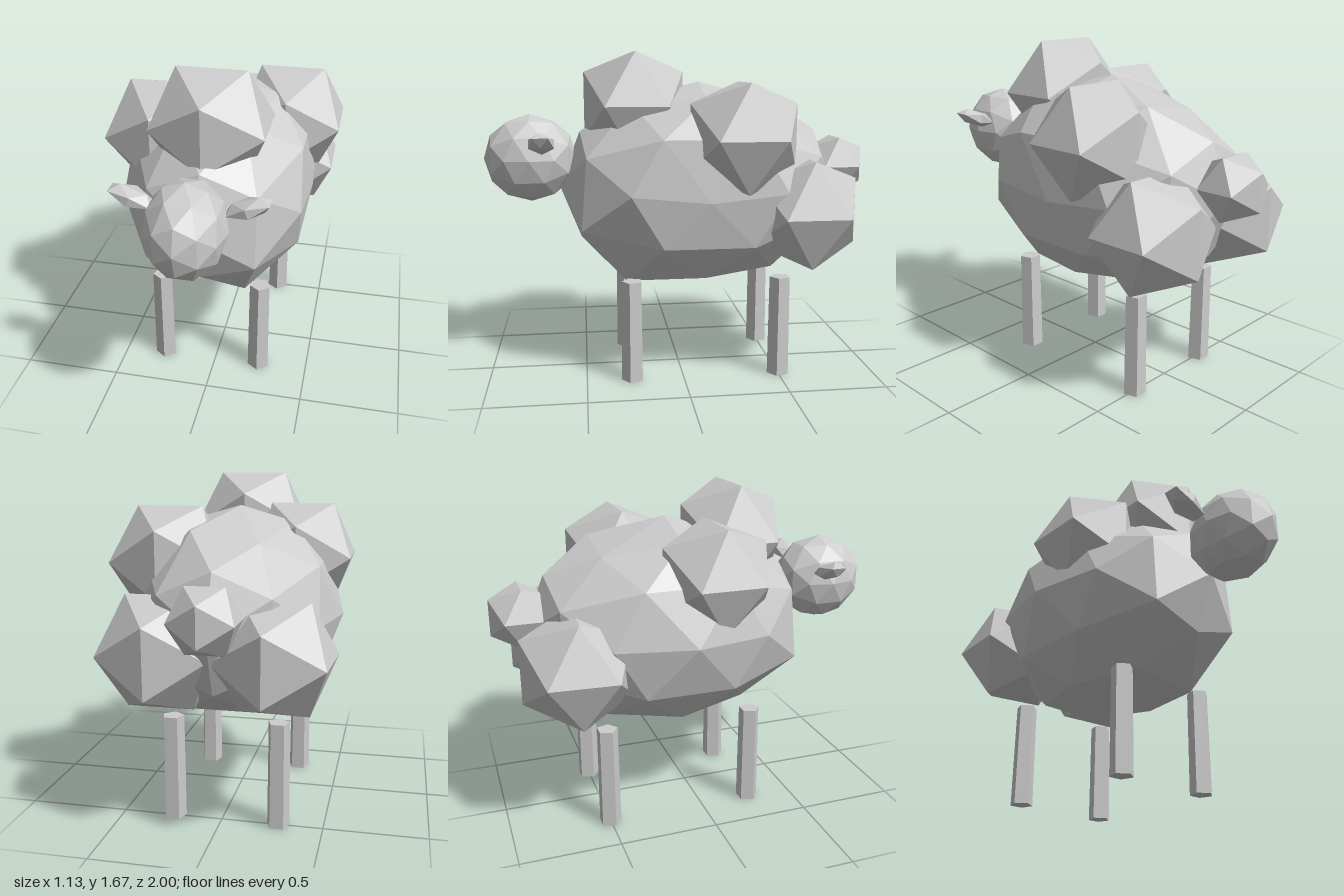
import * as THREE from 'three';

export function createModel() {
  const model = new THREE.Group();
  const grey = new THREE.MeshStandardMaterial({ color: 0xcccccc, flatShading: true });
  grey.name = 'light grey';

  function add(name, geometry, position) {
    const mesh = new THREE.Mesh(geometry, grey);
    mesh.name = name;
    mesh.position.set(...position);
    model.add(mesh);
    return mesh;
  }

  // Faceted ball stretched to the given half sizes
  function ball(name, position, radii, detail = 0) {
    return add(name, new THREE.IcosahedronGeometry(1, detail).scale(...radii), position);
  }

  // Shift every corner that lies at one of the given places on the unit ball
  function nudge(mesh, radii, moves) {
    const corners = mesh.geometry.attributes.position;
    const scale = new THREE.Vector3(...radii);
    const unit = new THREE.Vector3();
    for (let i = 0; i < corners.count; i++) {
      unit.fromBufferAttribute(corners, i).divide(scale);
      const move = moves.find(([place]) => unit.distanceTo(new THREE.Vector3(...place)) < 0.1);
      if (move) {
        unit.multiply(scale).add(new THREE.Vector3(...move[1]));
        corners.setXYZ(i, unit.x, unit.y, unit.z);
      }
    }
    mesh.geometry.computeVertexNormals();
  }

  const midX = -0.015;

  // Uneven body: chest lower, left flank flatter, one back corner sunk
  const bodySize = [0.525, 0.53, 0.73];
  const body = ball('body', [midX, 0.985, -0.11], bodySize, 1);
  nudge(body, bodySize, [
    [[1, 0, 0], [-0.06, -0.035, 0]],
    [[0.309, -0.809, 0.5], [0.015, -0.05, 0.03]],
    [[0.5, -0.309, 0.809], [0, -0.035, 0.03]],
    [[-0.5, -0.309, 0.809], [-0.01, -0.035, 0.03]],
    [[-0.309, 0.809, -0.5], [0, -0.05, 0]],
  ]);
  ball('head', [midX, 1.13, 0.763], [0.19, 0.225, 0.237], 1);

  // Wool tufts
  ball('topTuft', [midX, 1.4, 0.23], [0.325, 0.315, 0.3]);
  ball('leftSideTuft', [0.298, 1.253, -0.288], [0.31, 0.312, 0.312]);
  ball('rightSideTuft', [-0.305, 1.26, 0.05], [0.307, 0.305, 0.31]);
  ball('leftRearTuft', [0.26, 0.87, -0.62], [0.307, 0.315, 0.305]);
  const rearTuft = ball('rightRearTuft', [-0.282, 0.87, -0.635], [0.307, 0.305, 0.312]);
  rearTuft.rotation.y = -0.07;
  ball('tail', [midX, 1.073, -0.85], [0.175, 0.175, 0.176]);

  for (const side of [1, -1]) {
    const label = side > 0 ? 'left' : 'right';

    // Flattened ears, tips raised
    const ear = ball(label + 'Ear', [midX + side * 0.26, 1.225, 0.695], [0.12, 0.044, 0.072]);
    ear.rotation.z = side * 0.35;

    // Slightly tapered five-sided legs
    for (const [end, z] of [['Front', 0.263], ['Back', -0.502]]) {
      add(label + end + 'Leg', new THREE.CylinderGeometry(0.054, 0.058, 0.525, 5),
        [midX - 0.005 + side * 0.26, 0.2625, z]);
    }
  }
  return model;
}
